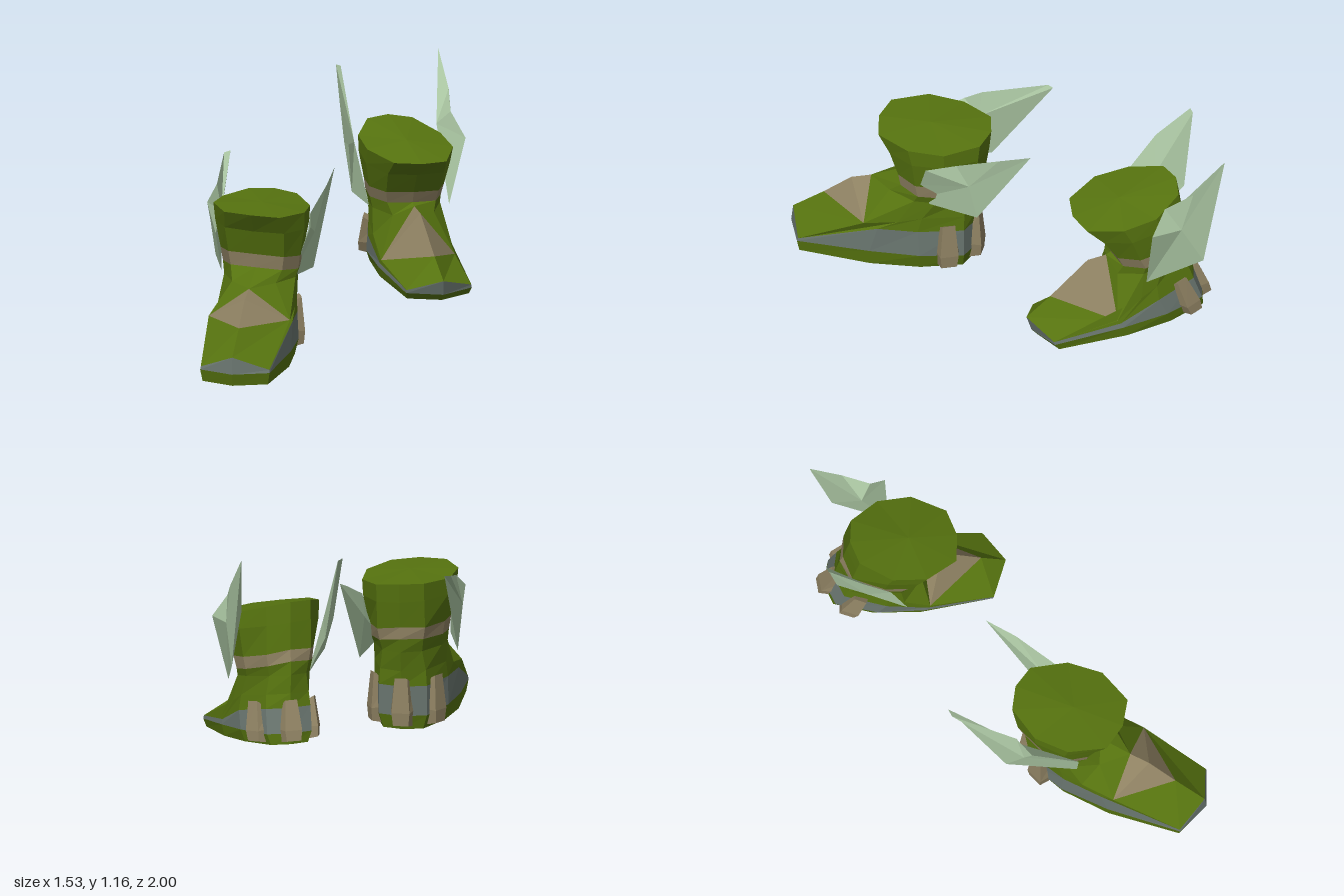
import * as THREE from 'three';

const paint = (name, color) => {
  const m = new THREE.MeshStandardMaterial({ color });
  m.name = name;
  return m;
};

// Half outlines [x, y, z] from toe to heel along the left side; mirrored into full rings
const FLAT_BOOT = {
  soleBottom: [[0, 0, .71], [.165, 0, .645], [.195, 0, .28], [.17, 0, .03], [.1, 0, -.17], [0, 0, -.2]],
  soleTop: [[0, .06, .725], [.175, .06, .655], [.205, .08, .28], [.19, .08, .03], [.12, .07, -.18], [0, .07, -.22]],
  stripeTop: [[0, .145, .715], [.173, .075, .65], [.203, .22, .24], [.185, .22, .04], [.12, .22, -.18], [0, .22, -.22]],
  vamp: [[0, .255, .56], [.205, .245, .31], [.195, .27, .14], [.18, .3, .02], [.115, .3, -.18], [0, .3, -.23]],
  ankle: [[0, .395, .32], [.11, .4, .2], [.18, .4, .06], [.17, .4, -.05], [.1, .4, -.2], [0, .4, -.25]],
  strapLow: [[0, .465, .16], [.13, .46, .14], [.19, .45, .04], [.18, .45, -.07], [.11, .46, -.22], [0, .47, -.26]],
  strapHigh: [[0, .535, .17], [.14, .53, .15], [.2, .52, .05], [.19, .515, -.07], [.12, .52, -.23], [0, .53, -.26]],
  cuff: [[0, .66, .21], [.15, .66, .19], [.225, .66, .06], [.215, .66, -.1], [.12, .66, -.25], [0, .66, -.28]],
  rim: [[0, .76, .28], [.14, .755, .25], [.23, .75, .08], [.22, .74, -.1], [.12, .75, -.26], [0, .755, -.29]],
};
// The leaning boot has a higher instep and a stripe that thins toward the toe
const LEANING_BOOT = {
  ...FLAT_BOOT,
  stripeTop: [[0, .18, .715], [.173, .085, .65], [.2, .115, .28], [.19, .2, .04], [.12, .22, -.18], [0, .22, -.22]],
  vamp: [[0, .29, .55], [.197, .14, .29], [.19, .25, .12], [.18, .29, .02], [.115, .3, -.18], [0, .3, -.23]],
  ankle: [[0, .455, .19], [.11, .4, .18], [.18, .4, .06], [.17, .4, -.05], [.1, .4, -.2], [0, .4, -.25]],
};

// The shaft dips slightly toward its left side
const dip = ([x, y, z]) => [x, y > .44 ? y - .06 * x : y, z];
const fullRing = (half) => [...half, ...half.slice(1, -1).reverse().map(([x, y, z]) => [-x, y, z])].map(dip);

// Faceted mesh from a list of triangle corners
function facets(name, material, corners) {
  const g = new THREE.BufferGeometry();
  g.setAttribute('position', new THREE.Float32BufferAttribute(corners.flat(), 3));
  g.computeVertexNormals();
  const mesh = new THREE.Mesh(g, material);
  mesh.name = name;
  return mesh;
}

// Wall between two rings, optionally only for some columns
function band(a, b, columns = a.map((_, i) => i)) {
  return columns.flatMap((i) => {
    const j = (i + 1) % a.length;
    return [a[i], a[j], b[j], a[i], b[j], b[i]];
  });
}

// Fan closing a ring around a centre point
function cap(ring, centre, up) {
  return ring.flatMap((p, i) => {
    const q = ring[(i + 1) % ring.length];
    return up ? [p, q, centre] : [q, p, centre];
  });
}

function boot(name, place, shape, instepPeak, { green, tan, grey }) {
  const group = new THREE.Group();
  group.name = name;
  const r = {};
  for (const key in shape) r[key] = fullRing(shape[key]).map((p) => place(...p));
  const { vamp: v, ankle: a } = r;

  group.add(
    facets('sole', green, [...cap(r.soleBottom, place(0, 0, .2), false), ...band(r.soleBottom, r.soleTop)]),
    facets('sideStripe', grey, band(r.soleTop, r.stripeTop)),
    facets('foot', green, [
      ...band(r.stripeTop, v),
      ...band(v, a, [1, 2, 3, 4, 5, 6, 7, 8]),
      v[1], a[1], a[0], v[9], a[0], a[9],
      ...band(a, r.strapLow),
    ]),
    facets('instepPatch', tan, cap([v[0], v[1], a[0], v[9]], place(...instepPeak), true)),
    facets('ankleStrap', tan, band(r.strapLow, r.strapHigh)),
    facets('cuff', green, [...band(r.strapHigh, r.cuff), ...band(r.cuff, r.rim)]),
    facets('cuffTop', green, cap(r.rim, place(0, .765, .02), true)),
  );

  // Heel studs with slanted tops: [centre x, centre z, outward angle]
  for (const [cx, cz, turn] of [[.135, -.1, 2.0], [0, -.2, Math.PI], [-.135, -.1, -2.0]]) {
    const level = (yIn, yOut, w, out) =>
      [[-w, yIn, -.04], [-w * .7, yOut, out], [w * .7, yOut, out], [w, yIn, -.04]].map(([u, y, d]) =>
        place(cx + u * Math.cos(turn) + d * Math.sin(turn), y, cz - u * Math.sin(turn) + d * Math.cos(turn)));
    const low = level(.01, .025, .055, .045);
    const mid = level(.1, .09, .065, .05);
    const high = level(.22, .265, .045, .035);
    group.add(facets('heelStud', tan, [
      ...band(low, mid), ...band(mid, high),
      low[0], low[2], low[1], low[0], low[3], low[2],
      high[0], high[1], high[2], high[0], high[2], high[3],
    ]));
  }
  return group;
}

// Thin folded wing: an outline closed by an outer and an inner ridge point
function wing(name, material, outline, outer, inner) {
  return facets(name, material, [...cap(outline, outer, true), ...cap(outline, inner, false)]);
}

export function createModel() {
  const mats = {
    green: paint('leaf green', 0x56730f),
    tan: paint('tan leather', 0x8e8162),
    grey: paint('slate grey', 0x69756f),
  };
  const feather = paint('pale feather green', 0xa9c4a1);
  feather.side = THREE.DoubleSide;

  const model = new THREE.Group();
  model.name = 'wingedBoots';

  // Front boot stands flat and turned outward
  const flat = (x, y, z) => [-.38 + .94 * x - .34 * z, y, .32 + .34 * x + .94 * z];
  // Rear boot is raised, leaning forward with its heel lifted
  const leaning = (x, y, z) => [
    .45 + .96 * x + .17 * z,
    .185 + .7 * y + .2 * y * y - (.09 + .18 * y) * z,
    -.735 - .19 * x + .92 * z + .28 * y,
  ];
  const front = boot('frontBoot', flat, FLAT_BOOT, [0, .365, .42], mats);
  const rear = boot('rearBoot', leaning, LEANING_BOOT, [0, .46, .29], mats);

  front.add(
    wing('leftWing', feather, [
      [-.25, .4, .44], [-.2, .52, .41], [-.15, .64, .39], [-.13, .67, .24],
      [-.02, .76, .04], [.04, .81, -.11], [-.1, .37, .14],
    ], [-.1, .56, .18], [-.13, .57, .17]),
    wing('rightWing', feather, [
      [-.59, .43, .36], [-.62, .62, .37], [-.63, .72, .14],
      [-.57, .79, .06], [-.49, .865, -.26], [-.455, .87, -.28], [-.57, .42, .01],
    ], [-.61, .63, .1], [-.55, .66, .08]),
  );
  rear.add(
    wing('leftWing', feather, [
      [.68, .47, -.61], [.765, .8, -.63], [.7, .92, -.7], [.71, 1, -.84],
      [.68, 1.165, -1], [.71, .6, -.89],
    ], [.72, .8, -.78], [.635, .85, -.74]),
    wing('rightWing', feather, [
      [.28, .48, -.6], [.18, .58, -.5], [.175, .8, -.58], [.15, .98, -.72],
      [.155, 1.13, -.89], [.18, 1.12, -.9], [.235, .72, -.85],
    ], [.17, .78, -.7], [.22, .78, -.7]),
  );

  model.add(front, rear);
  return model;
}
